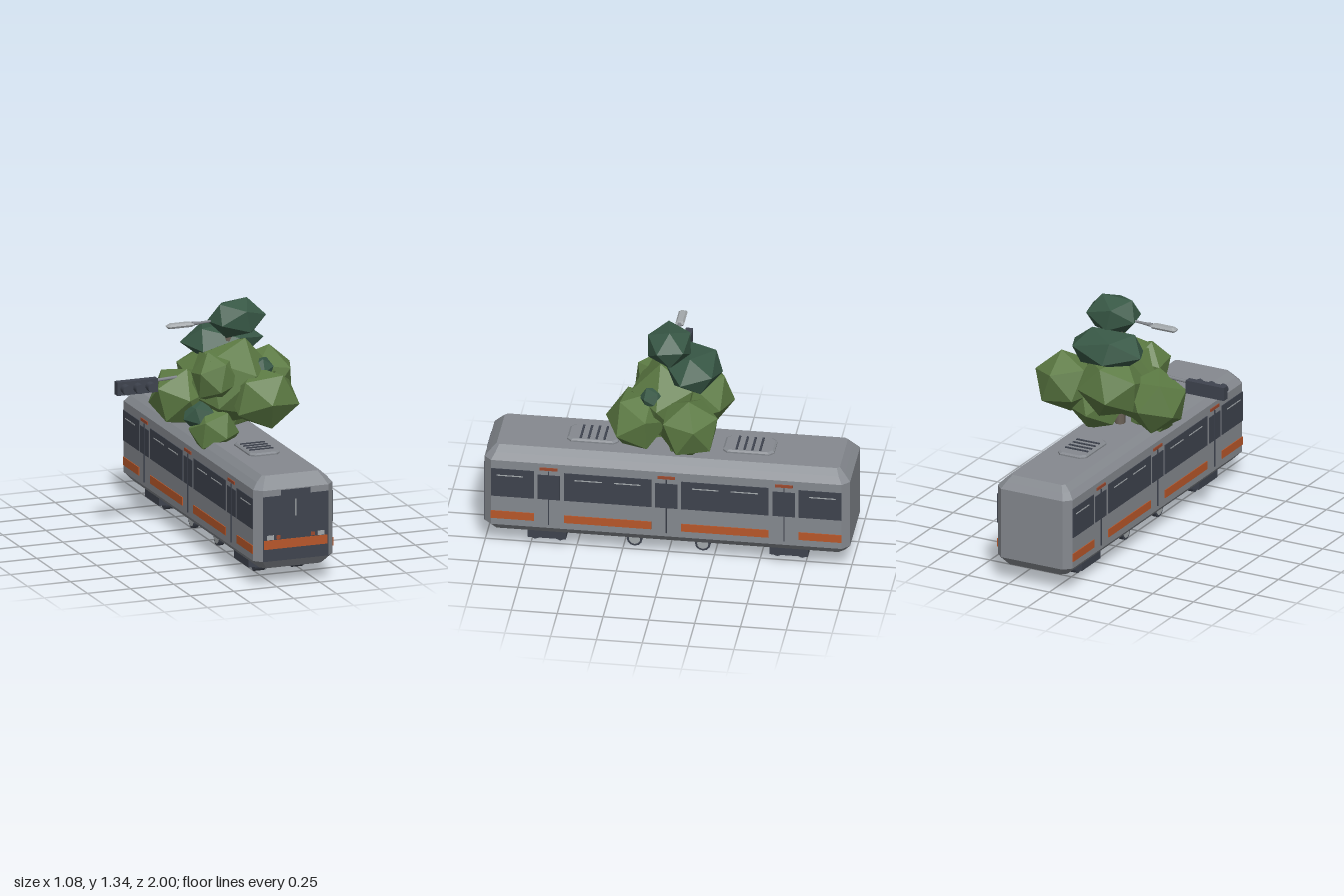
import * as THREE from 'three';
import { ConvexGeometry } from 'three/addons/geometries/ConvexGeometry.js';

const mat = (name, color, flatShading = false) => {
  const m = new THREE.MeshStandardMaterial({ color, flatShading });
  m.name = name;
  return m;
};

export function createModel() {
  const grey = mat('body grey', 0x85898f);
  const dark = mat('dark slate', 0x3e434e);
  const orange = mat('orange', 0xb8572a);
  const sign = mat('rust red', 0x9c4a2f);
  const pale = mat('pale grey', 0xa3a8ab);
  const leaf = mat('leaf green', 0x5c7a43, true);
  const pine = mat('deep green', 0x385846, true);
  const bark = mat('bark', 0x6b6258);

  const CX = 0.11; // the railcar's centre line
  const model = new THREE.Group();
  model.name = 'railcarWithTree';
  const car = new THREE.Group();
  car.name = 'railcar';
  car.position.x = CX;
  model.add(car);

  const add = (parent, name, geo, material, x = 0, y = 0, z = 0) => {
    const m = new THREE.Mesh(geo, material);
    m.name = name;
    m.position.set(x, y, z);
    parent.add(m);
    return m;
  };
  // box given by its limits
  const box = (parent, name, material, x0, x1, y0, y1, z0, z1) =>
    add(parent, name, new THREE.BoxGeometry(x1 - x0, y1 - y0, z1 - z0), material,
      (x0 + x1) / 2, (y0 + y1) / 2, (z0 + z1) / 2);
  // hull of octagonal layers [y, half width, half length, corner cut]
  const layered = (layers) => {
    const pts = [];
    for (const [y, hx, hz, c] of layers)
      for (const sx of [-1, 1]) for (const sz of [-1, 1])
        pts.push(new THREE.Vector3(sx * hx, y, sz * (hz - c)), new THREE.Vector3(sx * (hx - c), y, sz * hz));
    return new ConvexGeometry(pts);
  };

  // Shell with bevelled sill and roof
  add(car, 'shell', layered([
    [0.1, 0.185, 0.962, 0.03], [0.147, 0.23, 0.997, 0.04], [0.545, 0.23, 0.997, 0.04],
    [0.58, 0.201, 0.966, 0.03], [0.612, 0.166, 0.936, 0.015],
  ]), grey);

  // Roof vents
  for (const s of [-1, 1]) {
    const vent = new THREE.Group();
    vent.name = 'roofVent';
    vent.position.set(0, 0, s * 0.425);
    car.add(vent);
    add(vent, 'ventCover', layered([[0.605, 0.087, 0.14, 0.025], [0.62, 0.087, 0.14, 0.025], [0.628, 0.078, 0.13, 0.025]]), grey);
    for (let i = 0; i < 4; i++) {
      const z = -0.064 + i * 0.043;
      box(vent, 'ventSlat', dark, -0.07, 0.07, 0.626, 0.633, z - 0.006, z + 0.006);
    }
  }

  // Cab face
  const F = 0.996;
  box(car, 'windscreen', dark, -0.19, 0.19, 0.147, 0.51, F, F + 0.003);
  box(car, 'destinationPanel', dark, -0.085, 0.085, 0.505, 0.54, F, F + 0.004);
  box(car, 'frontStripe', orange, -0.184, 0.184, 0.215, 0.265, F, F + 0.006);
  box(car, 'wiper', pale, -0.003, 0.003, 0.39, 0.485, F, F + 0.005);
  for (const s of [-1, 1]) {
    add(car, 'headlight', new THREE.BoxGeometry(0.04, 0.025, 0.006), pale, s * 0.147, 0.28, F + 0.003);
    add(car, 'markerLight', new THREE.BoxGeometry(0.024, 0.02, 0.006), sign, s * 0.1, 0.28, F + 0.003);
  }

  // Side windows, doors and stripes, repeated on both sides
  for (const s of [-1, 1]) {
    const plate = (name, material, y0, y1, z0, z1, out) =>
      add(car, name, new THREE.BoxGeometry(out, y1 - y0, z1 - z0), material,
        s * (0.23 + out / 2 - 0.001), (y0 + y1) / 2, (z0 + z1) / 2);
    for (const e of [-1, 1]) {
      const span = (name, m, y0, y1, a, b, out) =>
        plate(name, m, y0, y1, Math.min(e * a, e * b), Math.max(e * a, e * b), out);
      for (const [a, b, stripeEnd] of [[0.082, 0.557, 0.557], [0.722, 0.957, 0.957]]) {
        span('sideWindow', dark, 0.325, 0.495, a, b, 0.005);
        span('sideStripe', orange, 0.187, 0.233, a, stripeEnd, 0.006);
      }
      for (const [a, b] of [[0.14, 0.285], [0.35, 0.5], [0.78, 0.925]])
        span('windowGlint', pale, 0.453, 0.459, a, b, 0.007);
    }
    for (const z of [-0.642, 0, 0.642]) {
      plate('doorWindow', dark, 0.325, 0.475, z - 0.061, z + 0.061, 0.005);
      plate('doorSeam', dark, 0.17, 0.5, z - 0.003, z + 0.003, 0.007);
      plate('doorSign', sign, 0.505, 0.521, z - 0.048, z + 0.048, 0.007);
    }
  }

  // Bogies with two wheels on each side
  for (const sx of [-1, 1]) for (const sz of [-1, 1]) {
    add(car, 'bogieFrame', new THREE.BoxGeometry(0.105, 0.045, 0.21), dark, sx * 0.13, 0.0775, sz * 0.66);
    for (const dz of [-0.068, 0.068])
      add(car, 'wheel', new THREE.CylinderGeometry(0.033, 0.033, 0.062, 8).rotateZ(Math.PI / 2), dark,
        sx * 0.11, 0.055, sz * 0.66 + dz);
  }

  // Underfloor equipment tray
  add(car, 'tray', layered([[0.068, 0.115, 0.255, 0.06], [0.08, 0.13, 0.29, 0.07], [0.105, 0.13, 0.29, 0.07]]), grey);
  for (const sx of [-1, 1]) for (const sz of [-1, 1]) {
    add(car, 'trayRoller', new THREE.CylinderGeometry(0.043, 0.043, 0.03, 12).rotateZ(Math.PI / 2), dark, sx * 0.125, 0.066, sz * 0.186);
    add(car, 'rollerCap', new THREE.CylinderGeometry(0.031, 0.031, 0.036, 12).rotateZ(Math.PI / 2), pale, sx * 0.125, 0.066, sz * 0.186);
  }
  add(car, 'underSocket', new THREE.CylinderGeometry(0.043, 0.04, 0.05, 6), dark, 0, 0.046, 0);
  add(car, 'underBulb', new THREE.SphereGeometry(0.018, 8, 6), pale, 0, 0.02, 0);

  // Trunk, signal and lamp arms
  const tree = new THREE.Group();
  tree.name = 'tree';
  model.add(tree);
  add(tree, 'trunk', new THREE.CylinderGeometry(0.018, 0.03, 0.6, 7), bark, CX, 0.9, 0);
  const rod = (name, a, b, r, m) => {
    const p = new THREE.Vector3(...a), d = new THREE.Vector3(...b).sub(p);
    const o = add(tree, name, new THREE.CylinderGeometry(r, r, d.length(), 6), m);
    o.position.copy(p).addScaledVector(d, 0.5);
    o.quaternion.setFromUnitVectors(new THREE.Vector3(0, 1, 0), d.normalize());
  };
  rod('signalArm', [-0.31, 0.93, 0], [CX, 0.95, 0], 0.009, grey);
  rod('lampArm', [-0.12, 1.222, -0.01], [CX, 1.228, -0.01], 0.007, grey);

  // Three-lens signal head
  box(tree, 'signalHead', dark, -0.54, -0.305, 0.87, 0.945, -0.02, 0.02);
  for (const x of [-0.495, -0.422, -0.35]) {
    const visor = new THREE.CylinderGeometry(0.027, 0.027, 0.045, 10).rotateX(Math.PI / 2);
    add(tree, 'signalLens', visor, dark, x, 0.907, 0.042);
  }

  // Street lamp head
  add(tree, 'lampHead', layered([[-0.012, 0.07, 0.018, 0.008], [0, 0.08, 0.024, 0.01], [0.012, 0.062, 0.015, 0.008]]), pale, -0.165, 1.222, -0.01);
  add(tree, 'lampNeck', new THREE.CylinderGeometry(0.007, 0.012, 0.06, 6).rotateZ(-Math.PI / 2), grey, -0.065, 1.223, -0.01);

  // Foliage: [material, centre, radii, rotation]
  const clumps = [
    [leaf, [0.11, 0.89, 0.03], [0.26, 0.255, 0.2], [0.3, 0.5, 0.2]],
    [leaf, [0.25, 0.82, 0.17], [0.205, 0.175, 0.175], [0.55, 0, 0.15]],
    [leaf, [0.37, 0.855, -0.13], [0.18, 0.175, 0.175], [0.2, 0.9, 0.3]],
    [leaf, [-0.14, 0.81, -0.06], [0.185, 0.18, 0.175], [0.4, 0.2, 0.5]],
    [leaf, [0.07, 0.89, -0.16], [0.2, 0.18, 0.18], [0.1, 0.7, 0.9]],
    [leaf, [-0.02, 0.65, 0.12], [0.14, 0.14, 0.13], [0.7, 0.3, 0.1]],
    [leaf, [0.2, 0.73, -0.09], [0.16, 0.14, 0.13], [0.2, 0.4, 0.8]],
    [leaf, [0, 0.94, 0.1], [0.14, 0.15, 0.13], [0.9, 0.1, 0.4]],
    [pine, [-0.09, 0.735, 0.08], [0.1, 0.085, 0.09], [0.3, 0.8, 0.1]],
    [pine, [0.27, 0.96, 0.08], [0.07, 0.07, 0.08], [0.5, 0.2, 0.6]],
    [pine, [0.12, 1.085, -0.12], [0.235, 0.115, 0.165], [0.2, 0.3, 0.1]],
    [pine, [0.155, 1.237, 0.01], [0.165, 0.115, 0.135], [0, 0.2, 0.15]],
  ];
  for (const [material, p, r, e] of clumps) {
    const geo = new THREE.IcosahedronGeometry(1, 0);
    geo.applyMatrix4(new THREE.Matrix4().makeRotationFromEuler(new THREE.Euler(...e)));
    geo.scale(...r);
    geo.computeVertexNormals();
    add(tree, 'foliage', geo, material, ...p);
  }
  return model;
}
